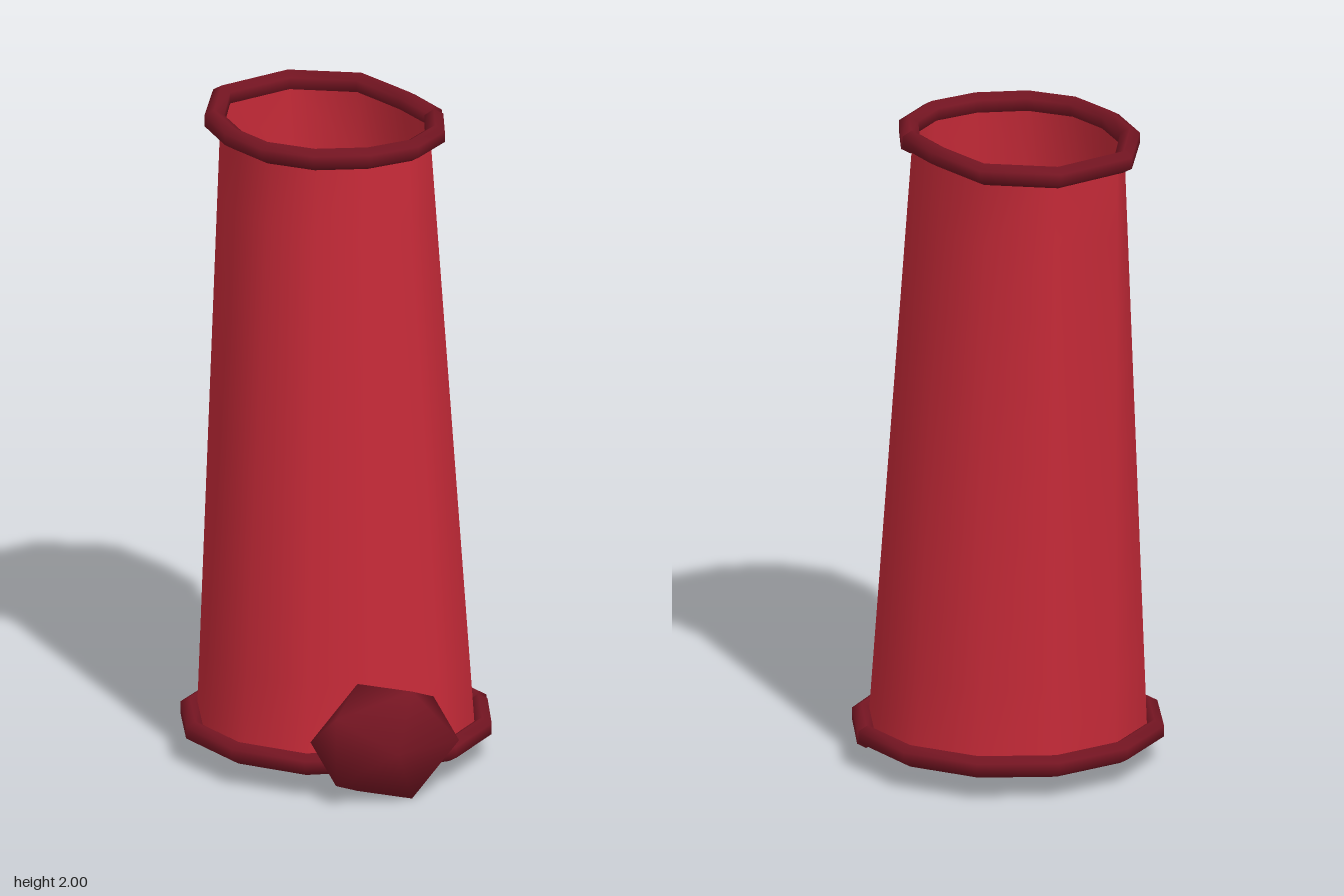
import * as THREE from 'three';
import { mergeVertices } from 'three/addons/utils/BufferGeometryUtils.js';

const red = new THREE.MeshStandardMaterial({ color: 0xc62a38, side: THREE.DoubleSide });
const darkRed = new THREE.MeshStandardMaterial({ color: 0x751522, side: THREE.DoubleSide });

// Smooth skin over rows of points; every row closes on itself
function loft(name, rows, material) {
  const n = rows[0].length;
  const index = [];
  for (let i = 0; i < rows.length - 1; i++) {
    for (let j = 0; j < n; j++) {
      const a = i * n + j, b = i * n + (j + 1) % n;
      index.push(a, b, b + n, a, b + n, a + n);
    }
  }
  let geometry = new THREE.BufferGeometry().setFromPoints(rows.flat());
  geometry.setIndex(index);
  geometry = mergeVertices(geometry);
  geometry.computeVertexNormals();
  const mesh = new THREE.Mesh(geometry, material);
  mesh.name = name;
  return mesh;
}

// Rim centre lines as [x, z], from the seam on +x round the back
const lower = [
  [0.445, -0.04], [0.385, -0.265], [0.225, -0.43], [0, -0.495], [-0.225, -0.43], [-0.39, -0.265],
  [-0.447, -0.04], [-0.385, 0.185], [-0.225, 0.35], [0, 0.385], [0.225, 0.355], [0.385, 0.185],
];
const upper = [
  [0.305, -0.04], [0.275, -0.2], [0.2, -0.41], [0, -0.51], [-0.235, -0.43], [-0.328, -0.22],
  [-0.325, -0.045], [-0.27, 0.115], [-0.155, 0.22], [0, 0.255], [0.15, 0.222], [0.26, 0.115],
];

// Rolled rim: six-sided section swept round the outline, ends butting at the seam
function rim(name, outline, y) {
  const count = outline.length;
  const rows = [];
  for (let i = 0; i <= count; i++) {
    const [x, z] = outline[i % count];
    const before = outline[(i + count - 1) % count], after = outline[(i + 1) % count];
    const out = new THREE.Vector3(before[1] - after[1], 0, after[0] - before[0]).normalize();
    const centre = new THREE.Vector3(x, y + 0.004 - 0.008 * i / count, z);
    if (i === 0) centre.z -= 0.006;
    if (i === count) centre.z += 0.006;
    const row = [];
    for (let k = 0; k < 6; k++) {
      const t = (k + 0.5) * Math.PI / 3;
      const p = centre.clone().addScaledVector(out, 0.034 * Math.cos(t));
      p.y -= 0.034 * Math.sin(t);
      row.push(p);
    }
    const cap = row.map(() => centre.clone());
    if (i === 0) rows.push(cap);
    rows.push(row);
    if (i === count) rows.push(cap);
  }
  return loft(name, rows, darkRed);
}

export function createModel() {
  const group = new THREE.Group();
  group.name = 'cuff';

  // Open tapering sleeve, its back staying nearly upright
  const levels = 8;
  const rows = [];
  for (let i = 0; i <= levels; i++) {
    const t = i / levels;
    rows.push(lower.map(([x, z], j) => {
      const [ux, uz] = upper[j];
      const zt = j === 3 ? t ** 3 : t;
      const shrink = 0.95;
      return new THREE.Vector3(
        THREE.MathUtils.lerp(x, ux, t) * shrink,
        THREE.MathUtils.lerp(0.1, 1.965, t),
        (THREE.MathUtils.lerp(z, uz, zt) + 0.05) * shrink - 0.05,
      );
    }));
  }
  group.add(loft('sleeve', rows, red));

  group.add(rim('lowerRim', lower, 0.1), rim('upperRim', upper, 1.965));

  // Faceted knob on the front: two offset pentagons between two points
  const ring = (z, radius, turn) => Array.from({ length: 5 }, (_, k) => {
    const t = (k * 2 + turn) * Math.PI / 5;
    return new THREE.Vector3(radius * Math.cos(t) * 0.215, 0.17 + radius * Math.sin(t) * 0.178, z);
  });
  group.add(loft('knob', [ring(0.285, 0, 1), ring(0.36, 1, 1), ring(0.48, 1, 0), ring(0.555, 0, 0)], darkRed));

  return group;
}
